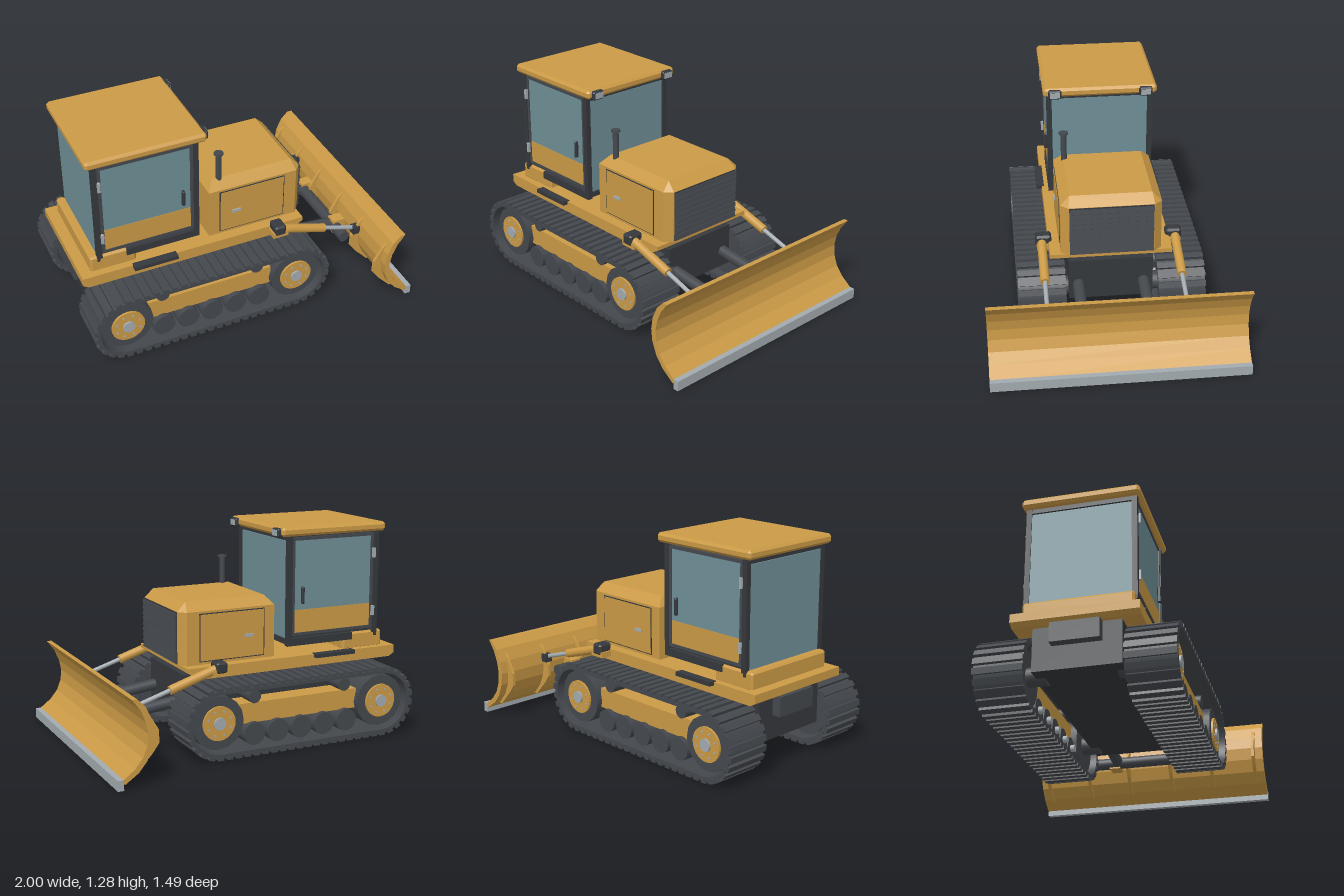
import * as THREE from 'three';
import { ConvexGeometry } from 'three/addons/geometries/ConvexGeometry.js';

const mat = (name, color) => {
  const m = new THREE.MeshStandardMaterial({ color });
  m.name = name;
  return m;
};

export function createModel() {
  const root = new THREE.Group();
  root.name = 'bulldozer';
  const yellow = mat('yellow paint', 0xcb9a46);
  const dark = mat('dark steel', 0x44484d);
  const black = mat('black trim', 0x35383c);
  const glass = mat('tinted glass', 0x6e8f96);
  const steel = mat('bare steel', 0xa3abb0);

  const add = (name, geo, m, parent = root) => {
    const mesh = new THREE.Mesh(geo, m);
    mesh.name = name;
    parent.add(mesh);
    return mesh;
  };
  // Box given by its two limits on each axis
  const box = (name, m, x0, x1, y0, y1, z0, z1, parent) => {
    const b = add(name, new THREE.BoxGeometry(x1 - x0, y1 - y0, z1 - z0), m, parent);
    b.position.set((x0 + x1) / 2, (y0 + y1) / 2, (z0 + z1) / 2);
    return b;
  };
  // Box with all edges chamfered
  const chamferBox = (name, m, x0, x1, y0, y1, z0, z1, c, parent) => {
    const pts = [];
    for (const [x, sx] of [[x0, 1], [x1, -1]]) for (const [y, sy] of [[y0, 1], [y1, -1]]) for (const [z, sz] of [[z0, 1], [z1, -1]]) {
      pts.push(new THREE.Vector3(x, y + sy * c, z + sz * c), new THREE.Vector3(x + sx * c, y, z + sz * c), new THREE.Vector3(x + sx * c, y + sy * c, z));
    }
    return add(name, new ConvexGeometry(pts), m, parent);
  };
  // Cylinder between two points
  const rod = (name, m, a, b, r, sides = 20, parent) => {
    const p = new THREE.Vector3(...a), q = new THREE.Vector3(...b);
    const mesh = add(name, new THREE.CylinderGeometry(r, r, p.distanceTo(q), sides), m, parent);
    mesh.position.copy(p).add(q).multiplyScalar(0.5);
    mesh.quaternion.setFromUnitVectors(new THREE.Vector3(0, 1, 0), q.sub(p).normalize());
    return mesh;
  };
  // Side profile extruded across z
  const profile = (name, m, pts, z0, z1, parent) => {
    const s = new THREE.Shape(pts.map(p => new THREE.Vector2(...p)));
    const mesh = add(name, new THREE.ExtrudeGeometry(s, { depth: z1 - z0, bevelEnabled: false }), m, parent);
    mesh.position.z = z0;
    return mesh;
  };
  const rectPath = (P, a0, a1, b0, b1) => {
    const p = new P();
    p.moveTo(a0, b0); p.lineTo(a1, b0); p.lineTo(a1, b1); p.lineTo(a0, b1); p.closePath();
    return p;
  };
  // Rectangular frame with an opening
  const frameGeo = (a0, a1, b0, b1, t, depth) => {
    const s = rectPath(THREE.Shape, a0, a1, b0, b1);
    s.holes.push(rectPath(THREE.Path, a0 + t, a1 - t, b0 + t, b1 - t));
    return new THREE.ExtrudeGeometry(s, { depth, bevelEnabled: false });
  };

  // Chassis and deck
  box('hull', black, -0.92, 0.4, 0.19, 0.45, -0.25, 0.25);
  box('rearHitch', dark, -0.975, -0.9, 0.33, 0.445, -0.14, 0.14);
  profile('deck', yellow, [[-0.985, 0.465], [-0.95, 0.445], [0.34, 0.445], [0.42, 0.49], [0.42, 0.515], [-0.985, 0.515]], -0.36, 0.36);
  chamferBox('rearTank', yellow, -0.92, -0.64, 0.505, 0.612, -0.315, 0.315, 0.012);
  for (const s of [-1, 1]) box('step', black, -0.68, -0.41, 0.497, 0.521, s * 0.37 - 0.024, s * 0.37 + 0.024);

  // Hood with chamfered roof and front corners
  const hoodPts = [];
  for (const s of [-1, 1]) {
    for (const y of [0.515, 0.83]) for (const [x, z] of [[-0.172, 0.295], [0.395, 0.295], [0.435, 0.25]]) hoodPts.push(new THREE.Vector3(x, y, s * z));
    for (const x of [-0.13, 0.38]) hoodPts.push(new THREE.Vector3(x, 0.883, s * 0.24));
  }
  add('hood', new ConvexGeometry(hoodPts), yellow);
  box('grilleBack', black, 0.43, 0.438, 0.52, 0.828, -0.245, 0.245);
  for (let i = 0; i < 9; i++) {
    const slat = box('grilleSlat', dark, 0.432, 0.449, 0.526 + i * 0.0335, 0.553 + i * 0.0335, -0.245, 0.245);
    slat.rotation.z = 0.2;
  }
  for (const s of [-1, 1]) {
    const seam = add('hoodPanelSeam', frameGeo(-0.105, 0.317, 0.53, 0.817, 0.006, 0.004), black);
    seam.position.z = s > 0 ? 0.294 : -0.298;
    box('hoodPanel', yellow, -0.099, 0.311, 0.536, 0.811, s * 0.297 - 0.004, s * 0.297 + 0.004);
    box('hoodHandle', steel, -0.028, 0.028, 0.654, 0.672, s * 0.304 - 0.006, s * 0.304 + 0.006);
  }
  rod('exhaustPipe', dark, [-0.085, 0.84, 0.235], [-0.085, 1.05, 0.235], 0.018);
  rod('exhaustCap', dark, [-0.085, 1.046, 0.235], [-0.085, 1.057, 0.235], 0.028);

  // Cab
  const cab = new THREE.Group();
  cab.name = 'cab';
  root.add(cab);
  box('cabCore', black, -0.865, -0.265, 0.57, 1.24, -0.3, 0.3, cab);
  for (const x of [-0.862, -0.263]) for (const z of [-0.308, 0.308]) box('cabPost', black, x - 0.016, x + 0.016, x < -0.5 ? 0.6 : 0.57, 1.24, z - 0.016, z + 0.016, cab);
  for (const s of [-1, 1]) {
    box('sideSill', black, -0.7, -0.255, 0.57, 0.615, s * 0.31 - 0.014, s * 0.31 + 0.014, cab);
    const door = add('doorFrame', frameGeo(-0.843, -0.279, 0.63, 1.222, 0.018, 0.024), dark, cab);
    door.position.z = s > 0 ? 0.295 : -0.319;
    box('doorGlass', glass, -0.83, -0.29, 0.786, 1.206, s * 0.309 - 0.004, s * 0.309 + 0.004, cab);
    box('doorPanel', yellow, -0.83, -0.29, 0.648, 0.786, s * 0.311 - 0.004, s * 0.311 + 0.004, cab);
    chamferBox('doorHandle', black, -0.355, -0.337, 0.825, 0.928, s * 0.328 - 0.012, s * 0.328 + 0.012, 0.005, cab);
    for (const y of [0.74, 1.1]) box('doorHinge', steel, -0.85, -0.832, y - 0.03, y + 0.03, s * 0.326 - 0.009, s * 0.326 + 0.009, cab);
    // Front and rear windows
    const frame = add('windowFrame', frameGeo(-0.322, 0.322, 0.58, 1.235, 0.03, 0.016), black, cab);
    frame.rotation.y = s * Math.PI / 2;
    frame.position.x = s > 0 ? -0.264 : -0.861;
    const x = s > 0 ? -0.261 : -0.869;
    box(s > 0 ? 'windshield' : 'rearWindow', glass, x - 0.004, x + 0.004, 0.612, 1.2, -0.292, 0.292, cab);
    // Work lights
    chamferBox('workLight', black, -0.225, -0.181, 1.227, 1.28, s * 0.275 - 0.04, s * 0.275 + 0.04, 0.008, cab);
    box('workLightLens', steel, -0.184, -0.178, 1.236, 1.271, s * 0.275 - 0.03, s * 0.275 + 0.03, cab);
  }
  chamferBox('roof', yellow, -0.915, -0.2, 1.232, 1.287, -0.345, 0.345, 0.015, cab);

  // Tracks
  const XR = -0.785, XF = 0.3, YC = 0.222, SPAN = XF - XR;
  const loop = (P, r) => {
    const p = new P();
    p.absarc(XF, YC, r, -Math.PI / 2, Math.PI / 2, false);
    p.absarc(XR, YC, r, Math.PI / 2, Math.PI * 1.5, false);
    p.closePath();
    return p;
  };
  const beltShape = loop(THREE.Shape, 0.196);
  beltShape.holes.push(loop(THREE.Path, 0.176));
  const beltGeo = new THREE.ExtrudeGeometry(beltShape, { depth: 0.28, bevelEnabled: false, curveSegments: 20 });
  const padGeo = new THREE.BoxGeometry(0.036, 0.022, 0.283);
  for (const s of [-1, 1]) {
    const track = new THREE.Group();
    track.name = s > 0 ? 'leftTrack' : 'rightTrack';
    root.add(track);
    const zc = s * 0.414;
    add('trackBelt', beltGeo, dark, track).position.z = zc - 0.14;
    const R = 0.203, arc = Math.PI * R, total = 2 * SPAN + 2 * arc, count = 60;
    for (let i = 0; i < count; i++) {
      let d = i / count * total, x, y, a;
      if (d < SPAN) { x = XR + d; y = YC + R; a = 0; }
      else if (d < SPAN + arc) { a = -(d - SPAN) / R; x = XF - Math.sin(a) * R; y = YC + Math.cos(a) * R; }
      else if (d < 2 * SPAN + arc) { x = XF - (d - SPAN - arc); y = YC - R; a = Math.PI; }
      else { a = -Math.PI - (d - 2 * SPAN - arc) / R; x = XR - Math.sin(a) * R; y = YC + Math.cos(a) * R; }
      const pad = add('trackPad', padGeo, dark, track);
      pad.position.set(x, y, zc);
      pad.rotation.z = a;
    }
    // Drive wheel and idler with bolted hubs
    for (const x of [XR, XF]) {
      rod('wheel', dark, [x, YC, s * 0.31], [x, YC, s * 0.515], 0.16, 16, track);
      rod('axle', dark, [x, YC, s * 0.2], [x, YC, s * 0.32], 0.055, 20, track);
      rod('hub', yellow, [x, YC, s * 0.5], [x, YC, s * 0.528], 0.102, 24, track);
      rod('hubCap', steel, [x, YC, s * 0.5], [x, YC, s * 0.54], 0.037, 20, track);
      for (let i = 0; i < 8; i++) {
        const a = (i + 0.5) * Math.PI / 4, bx = x + Math.cos(a) * 0.075, by = YC + Math.sin(a) * 0.075;
        rod('hubBolt', steel, [bx, by, s * 0.52], [bx, by, s * 0.533], 0.007, 6, track);
      }
    }
    box('trackFrame', yellow, -0.64, 0.15, 0.185, 0.305, zc - 0.065, zc + 0.065, track);
    for (let i = 0; i < 5; i++) {
      const x = -0.555 + i * 0.155;
      rod('roadRoller', dark, [x, 0.125, s * 0.32], [x, 0.125, s * 0.51], 0.068, 20, track);
      rod('rollerPin', steel, [x, 0.125, s * 0.295], [x, 0.125, s * 0.325], 0.022, 12, track);
    }
    for (const x of [-0.55, 0.055]) rod('carrierRoller', dark, [x, 0.342, s * 0.24], [x, 0.342, s * 0.49], 0.04, 20, track);

    // Lift cylinder and push arm
    chamferBox('cylinderMount', black, 0.2, 0.272, 0.483, 0.552, s * 0.39 - 0.048, s * 0.39 + 0.048, 0.012);
    box('mountBracket', yellow, 0.19, 0.29, 0.47, 0.505, s * 0.38 - 0.05, s * 0.38 + 0.05);
    rod('liftCylinder', yellow, [0.24, 0.515, s * 0.4], [0.55, 0.417, s * 0.4], 0.027);
    rod('liftRod', steel, [0.54, 0.42, s * 0.4], [0.78, 0.345, s * 0.4], 0.013);
    box('rodClevis', black, 0.75, 0.795, 0.315, 0.365, s * 0.405 - 0.024, s * 0.405 + 0.024);
    rod('pushArm', dark, [0.35, 0.295, s * 0.195], [0.735, 0.25, s * 0.195], 0.034);
    box('armLug', yellow, 0.71, 0.8, 0.21, 0.3, s * 0.215 - 0.035, s * 0.215 + 0.035);
  }
  rod('crossTube', dark, [0.73, 0.25, -0.355], [0.73, 0.25, 0.355], 0.036);

  // Curved blade, cutting edge and back ribs
  const front = [[0.912, 0.498], [0.865, 0.435], [0.835, 0.365], [0.823, 0.3], [0.829, 0.235], [0.855, 0.17], [0.9, 0.115], [0.972, 0.06]];
  const back = [[0.96, 0.035], [0.88, 0.09], [0.83, 0.15], [0.798, 0.225], [0.789, 0.3], [0.801, 0.375], [0.835, 0.45], [0.882, 0.498]];
  profile('blade', yellow, [...front, ...back], -0.745, 0.745);
  box('cuttingEdge', steel, 0.965, 1, 0.004, 0.064, -0.745, 0.745);
  const rib = [[0.86, 0.465], [0.795, 0.39], [0.742, 0.3], [0.74, 0.225], [0.78, 0.17], [0.87, 0.075], [0.905, 0.075], [0.84, 0.15], [0.81, 0.23], [0.8, 0.3], [0.815, 0.375]];
  for (const z of [-0.688, -0.41, -0.14, 0.14, 0.41, 0.688]) profile('bladeRib', yellow, rib, z - 0.009, z + 0.009);

  return root;
}
